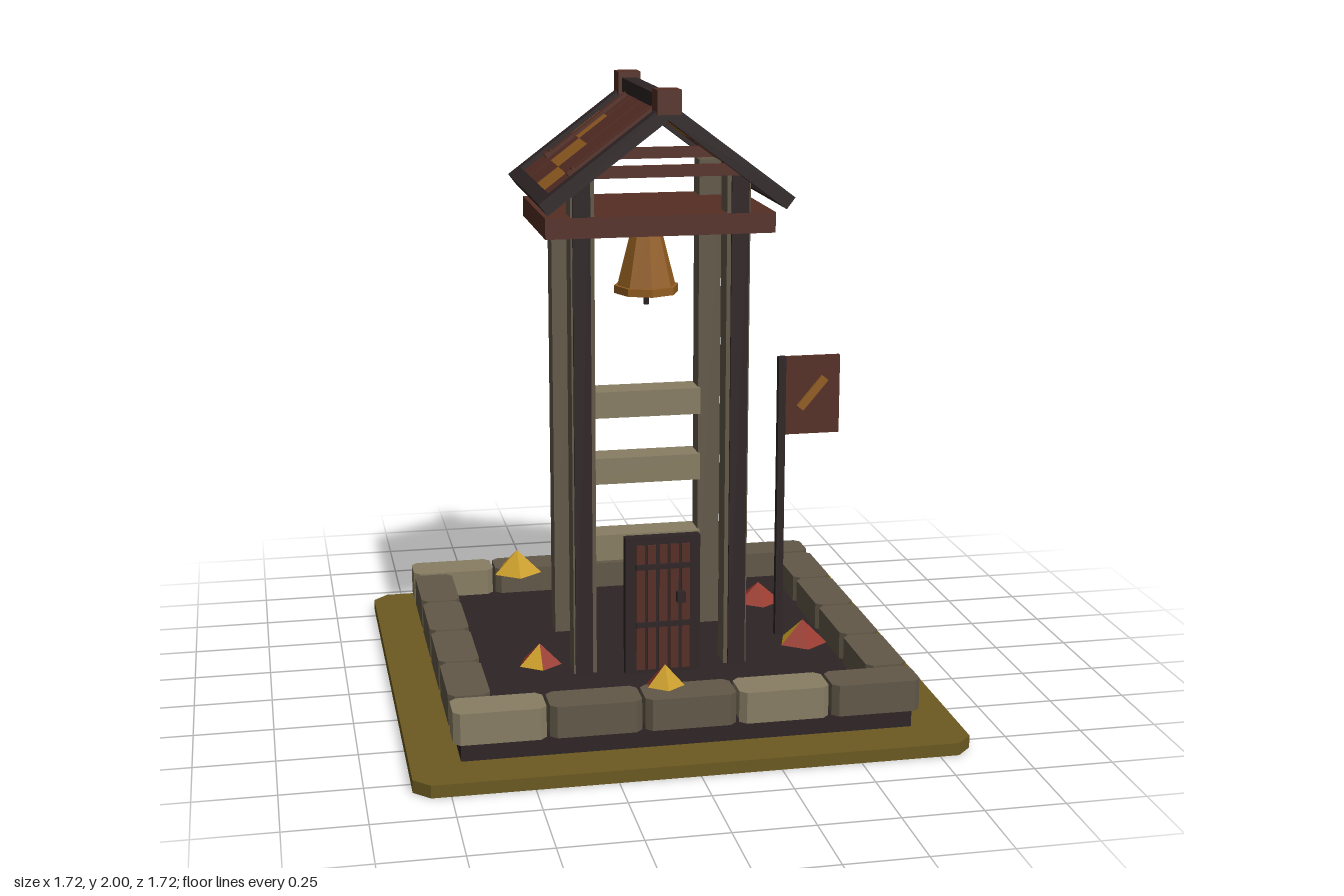
import * as THREE from 'three';

const mat = (name, color) => {
  const m = new THREE.MeshStandardMaterial({ color, flatShading: true });
  m.name = name;
  return m;
};

export function createModel() {
  const root = new THREE.Group();
  root.name = 'bellTower';

  const grass = mat('olive ground', 0x6c5a21);
  const dark = mat('dark timber', 0x2e2425);
  const stone = mat('dark stone', 0x625848);
  const pale = mat('pale stone', 0x897e64);
  const brown = mat('red brown wood', 0x552e24);
  const orange = mat('bronze', 0x935d20);
  const yellow = mat('yellow leaf', 0xc79a22);
  const red = mat('red leaf', 0x96362a);

  const add = (name, geo, material, x = 0, y = 0, z = 0, parent = root) => {
    const m = new THREE.Mesh(geo, material);
    m.name = name;
    m.position.set(x, y, z);
    parent.add(m);
    return m;
  };
  const box = (name, material, w, h, d, x, y, z, parent) =>
    add(name, new THREE.BoxGeometry(w, h, d), material, x, y, z, parent);

  // Upright slab with corners cut in plan
  const cutSlab = (w, d, h, c) => {
    const a = w / 2, b = d / 2;
    const pts = [[-a + c, -b], [a - c, -b], [a, -b + c], [a, b - c], [a - c, b], [-a + c, b], [-a, b - c], [-a, -b + c]];
    const s = new THREE.Shape(pts.map(p => new THREE.Vector2(...p)));
    return new THREE.ExtrudeGeometry(s, { depth: h, bevelEnabled: false }).rotateX(-Math.PI / 2);
  };

  // Ground and plinth
  add('groundPlate', cutSlab(1.72, 1.72, 0.04, 0.05), grass);
  box('plinth', dark, 1.41, 0.07, 1.41, 0, 0.075, 0);

  // Ring of kerb stones
  for (const s of [-1, 1]) {
    for (let i = 0; i < 5; i++) {
      add('kerbStone', cutSlab(0.283, 0.13, 0.1, 0.02), i % 3 === 0 ? pale : stone, (i - 2) * 0.293, 0.1, s * 0.662);
    }
    for (let i = 0; i < 4; i++) {
      add('kerbStone', cutSlab(0.13, 0.283, 0.1, 0.02), stone, s * 0.662, 0.1, (i - 1.5) * 0.293);
    }
  }

  // Four posts with dark facing boards on front and back
  for (const sx of [-1, 1]) for (const sz of [-1, 1]) {
    box('post', stone, 0.075, 1.61, 0.08, sx * 0.248, 0.915, sz * 0.2);
    box('postFacing', dark, 0.056, 1.61, 0.009, sx * 0.252, 0.915, sz * 0.2435);
  }

  // Back rails
  for (const y of [0.405, 0.675, 0.905]) box('backRail', pale, 0.43, 0.09, 0.105, 0, y, -0.198);

  // Loft slab and tie beams
  box('loftSlab', brown, 0.73, 0.065, 0.498, 0, 1.57, 0);
  for (const s of [-1, 1]) box('tieBeam', brown, 0.56, 0.035, 0.03, 0, 1.738, s * 0.228);

  // Roof: one tilted group per side, local x runs down the slope
  const pitch = 0.645;
  for (const s of [-1, 1]) {
    const side = new THREE.Group();
    side.name = s > 0 ? 'leftRoofSide' : 'rightRoofSide';
    side.position.y = 1.935;
    side.rotation.y = s > 0 ? 0 : Math.PI;
    const slope = new THREE.Group();
    slope.name = 'roofSlope';
    slope.rotation.z = -pitch;
    side.add(slope);
    root.add(side);
    for (let i = 0; i < 4; i++) {
      const z = (i - 1.5) * 0.157 * s;
      for (let j = 0; j < 4; j++) {
        box('roofTile', j === (i + 1) % 4 ? orange : brown, 0.117, 0.016, 0.149, 0.0585 + j * 0.117, 0, z, slope);
      }
    }
    for (const e of [-1, 1]) {
      box('gableRafter', dark, 0.49, 0.045, 0.045, 0.238, 0, e * 0.33, slope);
      box('innerBatten', brown, 0.335, 0.014, 0.026, 0.175, 0.012, e * 0.228, slope);
      box('battenEnd', brown, 0.018, 0.024, 0.044, 0.345, 0.014, e * 0.228, slope);
    }
    box('eaveBeam', dark, 0.045, 0.045, 0.7, 0.46, 0, 0, slope);
  }
  box('ridgeBeam', dark, 0.05, 0.045, 0.7, 0, 1.958, 0);
  for (const s of [-1, 1]) box('ridgeBlock', brown, 0.075, 0.075, 0.08, 0, 1.9625, s * 0.325);

  // Bell with hanger and clapper
  const bell = new THREE.Group();
  bell.name = 'bell';
  root.add(bell);
  add('bellBody', new THREE.CylinderGeometry(0.05, 0.097, 0.185, 8), orange, 0, 1.428, 0, bell);
  add('bellLip', new THREE.CylinderGeometry(0.106, 0.106, 0.025, 8), orange, 0, 1.328, 0, bell);
  add('bellHanger', new THREE.CylinderGeometry(0.01, 0.01, 0.03, 6), dark, 0, 1.53, 0, bell);
  add('bellClapper', new THREE.CylinderGeometry(0.01, 0.01, 0.05, 6), dark, 0, 1.3, 0, bell);

  // Door with planks, straps and knob
  const door = new THREE.Group();
  door.name = 'door';
  root.add(door);
  box('doorFrame', dark, 0.245, 0.46, 0.033, 0, 0.34, 0.261, door);
  for (let i = -2; i <= 2; i++) box('doorPlank', brown, 0.027, 0.42, 0.009, i * 0.037, 0.335, 0.281, door);
  for (const y of [0.28, 0.475]) box('doorStrap', dark, 0.18, 0.016, 0.012, 0, y, 0.289, door);
  box('doorKnob', dark, 0.028, 0.034, 0.03, 0.055, 0.372, 0.297, door);

  // Banner on a pole
  const banner = new THREE.Group();
  banner.name = 'banner';
  root.add(banner);
  box('bannerPole', dark, 0.025, 0.98, 0.025, 0.458, 0.59, 0, banner);
  box('bannerCloth', brown, 0.186, 0.265, 0.016, 0.563, 0.947, 0, banner);
  box('bannerStripe', orange, 0.132, 0.028, 0.009, 0.562, 0.955, 0.0125, banner).rotation.z = 0.87;

  // Leaf piles: x, base y, z, radius, height, indices of red faces
  const piles = [
    [-0.355, 0.185, -0.61, 0.088, 0.08, [2]],
    [-0.06, 0.185, 0.605, 0.075, 0.08, [3]],
    [0.475, 0.108, -0.345, 0.085, 0.07, [0, 1, 2, 3, 4]],
    [0.52, 0.108, 0.09, 0.085, 0.08, [0, 4]],
    [-0.38, 0.108, 0.12, 0.075, 0.07, [0, 1, 2, 3]],
  ];
  for (const [x, y, z, r, h, reds] of piles) {
    const g = new THREE.ConeGeometry(r, h, 5);
    g.clearGroups();
    for (let i = 0; i < 5; i++) g.addGroup(i * 3, 3, reds.includes(i) ? 1 : 0);
    g.addGroup(15, 15, reds.length > 2 ? 1 : 0);
    add('leafPile', g, [yellow, red], x, y + h / 2, z);
  }

  return root;
}
